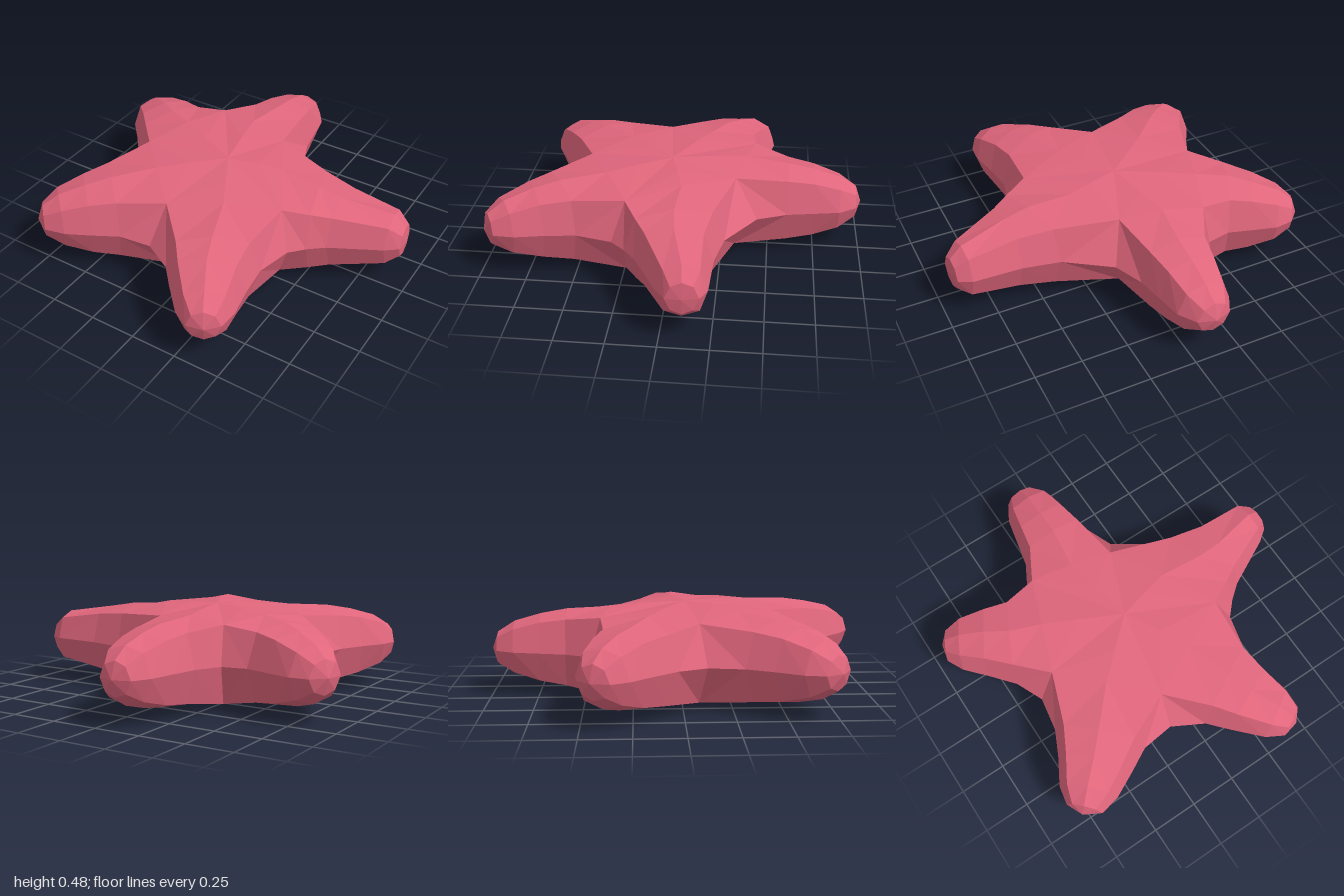
import * as THREE from 'three';

const MID = 0.245; // height of the symmetry plane

// Notches between arms: outer edge (x, z) and upper crease (x, z)
const notches = [
  { out: [-0.37, -0.47], crease: [-0.35, -0.415] },
  { out: [0.165, -0.44], crease: [0.09, -0.32] },
  { out: [0.47, 0.295], crease: [0.395, 0.23] },
  { out: [-0.155, 0.62], crease: [-0.13, 0.49] },
  { out: [-0.64, 0.115], crease: [-0.535, 0.08] },
];

// Arms, clockwise from above: both edges from notch to tip, then the tip
const arms = [
  { left: [[-0.3, -0.6], [-0.27, -0.74], [-0.24, -0.88], [-0.19, -0.97]],
    right: [[0.1, -0.6], [0.075, -0.74], [0.05, -0.88], [-0.01, -0.97]], tip: [-0.1, -1] },
  { left: [[0.4, -0.28], [0.6, -0.24], [0.86, -0.23], [0.93, -0.195]],
    right: [[0.54, 0.22], [0.62, 0.155], [0.88, 0.02], [0.945, -0.03]], tip: [0.95, -0.11] },
  { left: [[0.425, 0.485], [0.445, 0.65], [0.475, 0.8], [0.47, 0.91]],
    right: [[0.01, 0.71], [0.1, 0.81], [0.23, 0.945], [0.32, 0.995]], tip: [0.41, 0.975] },
  { left: [[-0.33, 0.64], [-0.46, 0.71], [-0.59, 0.775], [-0.7, 0.8]],
    right: [[-0.67, 0.295], [-0.735, 0.43], [-0.81, 0.56], [-0.83, 0.66]], tip: [-0.79, 0.75] },
  { left: [[-0.705, -0.03], [-0.81, -0.155], [-0.905, -0.26], [-0.95, -0.35]],
    right: [[-0.5, -0.445], [-0.62, -0.48], [-0.76, -0.52], [-0.86, -0.51]], tip: [-0.93, -0.445] },
];

// Section shape at each station along an arm
const creaseInset = [0.12, 0.13, 0.15, 0.17];
const creaseHeight = [0.175, 0.155, 0.115, 0.065];
const spineHeight = [0.21, 0.185, 0.145, 0.088];

const at = ([x, z], h) => new THREE.Vector3(x, h, z);
const mix = (a, b, t) => [a[0] + (b[0] - a[0]) * t, a[1] + (b[1] - a[1]) * t];

function starGeometry() {
  const positions = [];
  const push = (p, s) => positions.push(p.x, MID + s * p.y, p.z);
  // Each triangle is mirrored to the underside
  const tri = (a, b, c) => {
    [a, b, c].forEach((p) => push(p, 1));
    [a, c, b].forEach((p) => push(p, -1));
  };
  const center = at([-0.05, 0.03], 0.24);

  arms.forEach((arm, i) => {
    const n0 = notches[i];
    const n1 = notches[(i + 1) % notches.length];
    const cL = at(n0.crease, 0.2);
    const cR = at(n1.crease, 0.2);
    const root = at(mix(n0.crease, n1.crease, 0.5), 0.226);
    const inner = center.clone().lerp(root, 0.55).setY(0.237);

    // central disc
    tri(center, cR, inner);
    tri(center, inner, cL);
    tri(inner, cR, root);
    tri(inner, root, cL);

    // arm sections: edge, crease, spine, crease, edge
    const rings = [[at(n0.out, 0), cL, root, cR, at(n1.out, 0)]];
    arm.left.forEach((l, k) => {
      const r = arm.right[k];
      rings.push([
        at(l, 0),
        at(mix(l, r, creaseInset[k]), creaseHeight[k]),
        at(mix(l, r, 0.5), spineHeight[k]),
        at(mix(l, r, 1 - creaseInset[k]), creaseHeight[k]),
        at(r, 0),
      ]);
    });
    for (let k = 0; k < rings.length - 1; k++) {
      for (let j = 0; j < 4; j++) {
        const [a, b] = [rings[k][j], rings[k][j + 1]];
        const [d, c] = [rings[k + 1][j], rings[k + 1][j + 1]];
        // diagonals mirror across the spine
        if (j < 2) { tri(a, b, d); tri(b, c, d); }
        else { tri(a, b, c); tri(a, c, d); }
      }
    }

    // blunt tip cap
    const end = rings[rings.length - 1];
    const tip = at(arm.tip, 0);
    for (let j = 0; j < 4; j++) tri(end[j], end[j + 1], tip);
  });

  const geometry = new THREE.BufferGeometry();
  geometry.setAttribute('position', new THREE.Float32BufferAttribute(positions, 3));
  geometry.computeVertexNormals();
  return geometry;
}

export function createModel() {
  const group = new THREE.Group();
  group.name = 'starfish';
  const material = new THREE.MeshStandardMaterial({ color: 0xe0667c, flatShading: true });
  const body = new THREE.Mesh(starGeometry(), material);
  body.name = 'starfishBody';
  group.add(body);
  return group;
}
